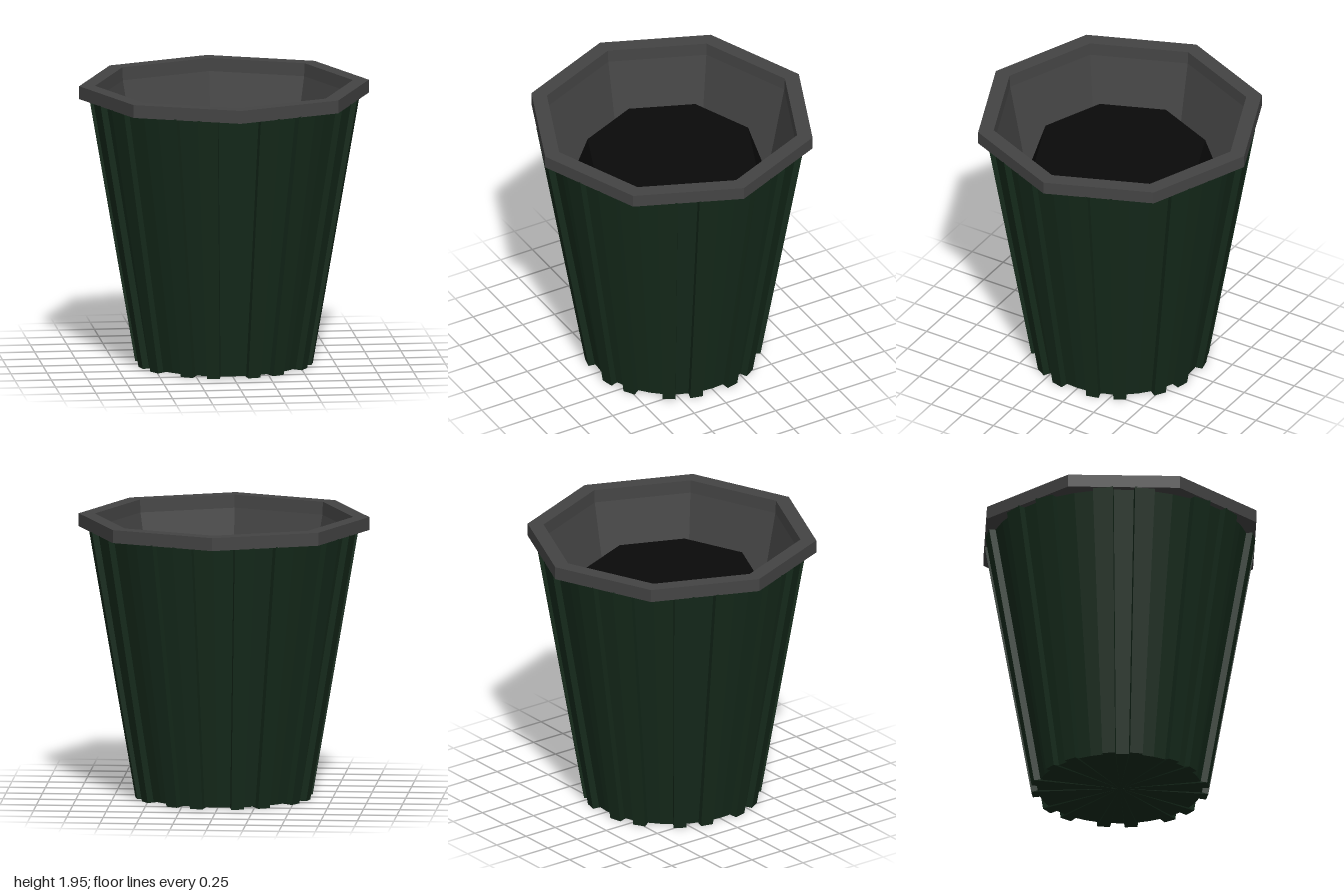
import * as THREE from 'three';

const mat = (color) => new THREE.MeshStandardMaterial({ color, flatShading: true });

// Eight-sided lathe with its corners on the x and z axes
function octagon(name, profile, material) {
  const points = profile.map(([r, y]) => new THREE.Vector2(r, y));
  const mesh = new THREE.Mesh(new THREE.LatheGeometry(points, 8), material);
  mesh.name = name;
  return mesh;
}

// Tapered 40-sided shell; two panels in every five stand out as slats
function slattedShell() {
  const sides = 40, depth = 0.045, bottom = [], top = [];
  for (let i = 0; i < sides; i++) {
    const slat = i % 5 === 1 || i % 5 === 3;
    const step = (Math.PI * 2) / sides, mid = (i + 0.5) * step;
    const out = slat ? depth : 0;
    for (const a of [i * step, (i + 1) * step]) {
      const at = (r, y) => [
        r * Math.sin(a) + out * Math.sin(mid), y,
        r * Math.cos(a) + out * Math.cos(mid)];
      bottom.push(at(0.565, slat ? 0 : 0.01));
      top.push(at(0.885, 1.865));
    }
  }
  const pos = [];
  const n = bottom.length;
  for (let i = 0; i < n; i++) {
    const j = (i + 1) % n;
    if (Math.hypot(bottom[i][0] - bottom[j][0], bottom[i][2] - bottom[j][2]) < 1e-5) continue;
    pos.push(...bottom[i], ...bottom[j], ...top[j]);
    pos.push(...bottom[i], ...top[j], ...top[i]);
    pos.push(0, 0.01, 0, ...bottom[j], ...bottom[i]); // base
  }
  const geo = new THREE.BufferGeometry();
  geo.setAttribute('position', new THREE.Float32BufferAttribute(pos, 3));
  geo.computeVertexNormals();
  return geo;
}

export function createModel() {
  const group = new THREE.Group();
  const grey = mat(0x444444);

  const body = new THREE.Mesh(slattedShell(), mat(0x152a1b));
  body.name = 'slattedBody';
  group.add(body);

  // Overhanging rim
  group.add(octagon('rim',
    [[0.86, 1.86], [1, 1.86], [1, 1.95], [0.89, 1.95], [0.885, 1.86]], grey));

  // Sloping inner wall
  group.add(octagon('innerWall', [[0.885, 1.86], [0.75, 1.2]], grey));

  // Dark raised filling with a flat top
  group.add(octagon('filling', [[0.75, 1.2], [0.6, 1.64], [0, 1.64]], mat(0x0a0a0a)));

  return group;
}
